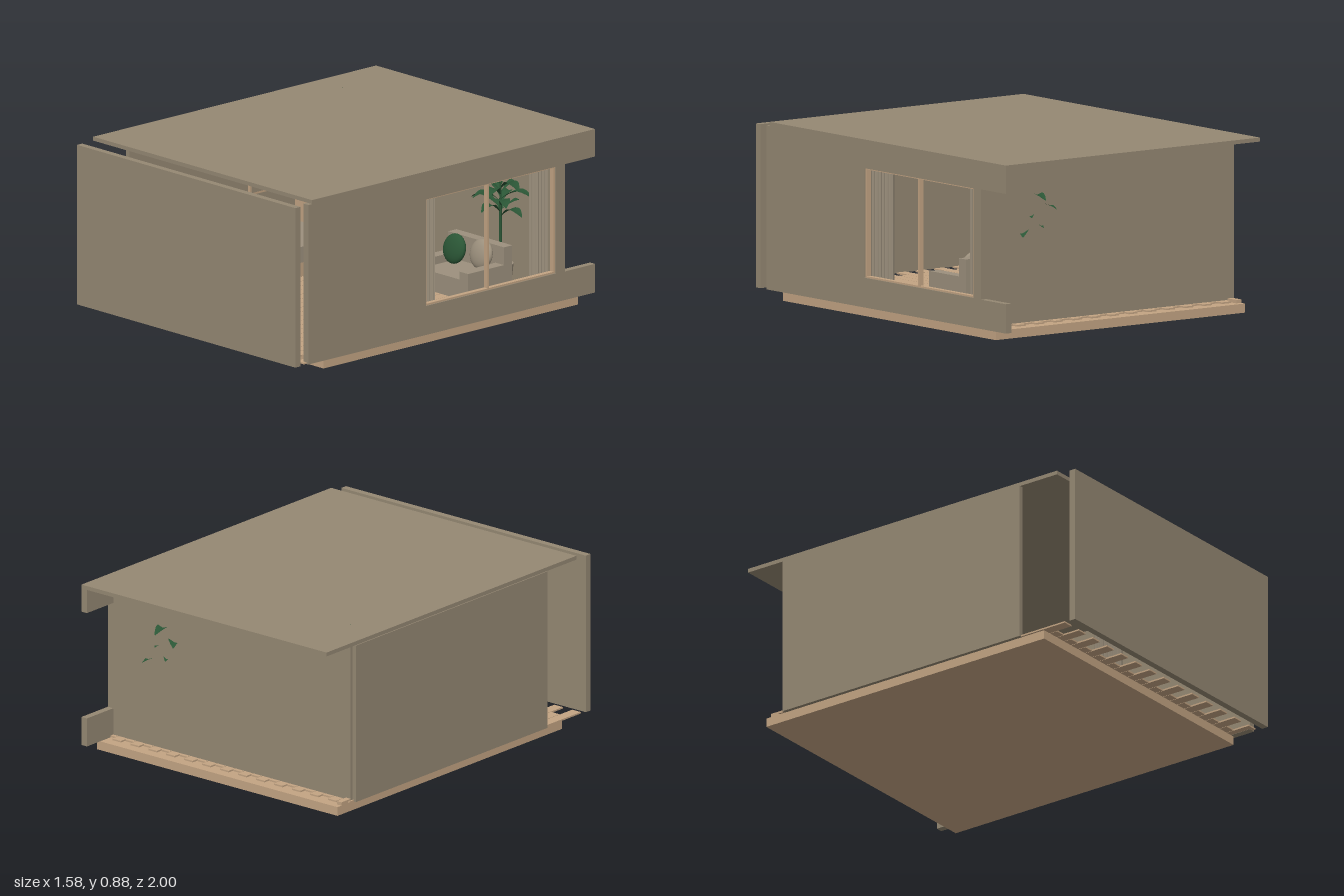
import * as THREE from 'three';

const mat = (name, hex, side = THREE.FrontSide) => {
  const m = new THREE.MeshStandardMaterial({ color: hex, side });
  m.name = name;
  return m;
};

export function createModel() {
  const model = new THREE.Group();
  model.name = 'roomBox';
  const wall = mat('taupe wall', 0x958873);
  const wood = mat('light wood', 0xc3a483);
  const fabric = mat('beige fabric', 0x9c907d, THREE.DoubleSide);
  const leaf = mat('leaf green', 0x2a5535, THREE.DoubleSide);
  const dark = mat('dark grey', 0x3c3a36);

  const add = (name, geo, material, parent = model) => {
    const m = new THREE.Mesh(geo, material);
    m.name = name;
    parent.add(m);
    return m;
  };
  // box from its lower and upper limits
  const box = (name, material, x0, x1, y0, y1, z0, z1, parent = model) => {
    const m = add(name, new THREE.BoxGeometry(x1 - x0, y1 - y0, z1 - z0), material, parent);
    m.position.set((x0 + x1) / 2, (y0 + y1) / 2, (z0 + z1) / 2);
    return m;
  };

  // shell
  box('baseSlab', wood, -0.77, 0.77, 0, 0.045, -0.9, 0.8);
  box('frontWall', wall, -0.783, 0.783, 0.045, 0.855, 0.965, 1);
  box('backWall', wall, -0.77, 0.75, 0.045, 0.855, -0.8, -0.765);
  box('leftWall', wall, -0.79, -0.765, 0.045, 0.855, -0.785, 0.665);
  box('roof', wall, -0.785, 0.785, 0.855, 0.875, -1, 0.89);
  box('skirtingEnd', wood, -0.77, -0.74, 0.045, 0.062, -0.87, -0.8);

  // right wall: notched at the back, with a window opening (drawn in -z, y)
  const points = (list) => list.map(([u, y]) => new THREE.Vector2(u, y));
  const side = new THREE.Shape(points([
    [-0.915, 0.045], [1, 0.045], [1, 0.19], [0.8, 0.19],
    [0.8, 0.735], [1, 0.735], [1, 0.855], [-0.915, 0.855],
  ]));
  side.holes.push(new THREE.Path(points([[-0.13, 0.192], [-0.13, 0.733], [0.74, 0.733], [0.74, 0.192]])));
  const sideGeo = new THREE.ExtrudeGeometry(side, { depth: 0.035, bevelEnabled: false });
  sideGeo.rotateY(Math.PI / 2);
  add('rightWall', sideGeo, wall).position.x = 0.75;

  // staggered floor planks
  const pitch = 0.0575;
  for (let i = 0; i < 27; i++) {
    const x = -0.778 + i * pitch, long = i % 2 === 0;
    box('floorPlank', wood, x, x + pitch - 0.003, 0.046, 0.054, long ? -0.82 : -0.85, long ? 0.932 : 0.84);
  }

  // window frame and mullion
  const frame = new THREE.Group();
  frame.name = 'windowFrame';
  model.add(frame);
  box('frameBottom', wood, 0.752, 0.778, 0.19, 0.2, -0.74, 0.13, frame);
  box('frameTop', wood, 0.752, 0.778, 0.727, 0.737, -0.74, 0.13, frame);
  for (const z of [-0.735, -0.295, 0.125])
    box('frameUpright', wood, 0.752, 0.778, 0.19, 0.737, z - 0.005, z + 0.005, frame);

  // pleated curtains
  const curtain = (z0, z1, folds) => {
    const width = z1 - z0;
    const g = new THREE.PlaneGeometry(width, 0.74, folds * 6, 1);
    const p = g.attributes.position;
    for (let i = 0; i < p.count; i++)
      p.setZ(i, 0.016 * Math.sin((p.getX(i) / width + 0.5) * folds * Math.PI * 2));
    g.rotateY(Math.PI / 2);
    g.computeVertexNormals();
    add('curtain', g, fabric).position.set(0.71, 0.44, (z0 + z1) / 2);
  };
  curtain(0, 0.16, 6);
  curtain(-0.755, -0.63, 6);

  // armchair facing the front, with cushions
  const chair = new THREE.Group();
  chair.name = 'armchair';
  model.add(chair);
  box('seat', fabric, 0.32, 0.64, 0.12, 0.22, -0.52, -0.25, chair);
  for (const x of [0.28, 0.62]) box('armrest', fabric, x, x + 0.06, 0.1, 0.26, -0.52, -0.25, chair);
  box('backrest', fabric, 0.28, 0.68, 0.1, 0.35, -0.545, -0.49, chair);
  for (const x of [0.3, 0.64]) for (const z of [-0.5, -0.29])
    box('chairLeg', wood, x, x + 0.02, 0.054, 0.12, z, z + 0.02, chair);
  const cushion = (x, z, material) => {
    const m = add('cushion', new THREE.SphereGeometry(0.075, 20, 14), material, chair);
    m.scale.set(1, 1, 0.4);
    m.position.set(x, 0.3, z);
    m.rotation.x = -0.25;
  };
  cushion(0.56, -0.45, fabric);
  cushion(0.4, -0.42, leaf);

  // daybed along the left wall
  box('daybedBase', wood, -0.74, -0.34, 0.07, 0.14, -0.4, 0.45);
  box('daybedMattress', fabric, -0.74, -0.34, 0.14, 0.22, -0.4, 0.45);
  box('daybedBack', fabric, -0.75, -0.68, 0.2, 0.3, -0.38, 0.43);

  // low table
  const table = new THREE.Group();
  table.name = 'lowTable';
  model.add(table);
  add('tableTop', new THREE.CylinderGeometry(0.13, 0.13, 0.015, 32), wood, table).position.set(0.2, 0.19, -0.12);
  add('tableStem', new THREE.CylinderGeometry(0.02, 0.05, 0.13, 24), dark, table).position.set(0.2, 0.12, -0.12);
  box('book', dark, 0.14, 0.25, 0.198, 0.212, -0.17, -0.09, table);

  // framed picture with abstract patches
  box('pictureFrame', wood, -0.765, -0.75, 0.39, 0.6, -0.3, -0.125);
  box('pictureCanvas', wall, -0.75, -0.748, 0.4, 0.59, -0.29, -0.135);
  for (const [z, y, s] of [[-0.155, 0.5, 0.03], [-0.2, 0.47, 0.04], [-0.26, 0.49, 0.035]])
    box('picturePatch', wood, -0.748, -0.746, y - s / 2, y + s / 2, z - s / 2, z + s / 2);

  // open shelves in the back corner
  box('shelfPost', wood, -0.765, -0.52, 0.054, 0.8, -0.455, -0.44);
  for (let i = 0; i < 7; i++) {
    const y = 0.15 + i * 0.09;
    box('shelf', wood, -0.765, -0.64, y, y + 0.014, -0.765, -0.455);
  }

  // arched, tapering leaf along +x
  const leafGeo = (len, width, rise) => {
    const g = new THREE.PlaneGeometry(len, width, 8, 2);
    g.rotateX(-Math.PI / 2);
    g.translate(len / 2, 0, 0);
    const p = g.attributes.position;
    for (let i = 0; i < p.count; i++) {
      const t = THREE.MathUtils.clamp(p.getX(i) / len, 0, 1);
      p.setZ(i, p.getZ(i) * (0.1 + Math.sin(Math.PI * Math.pow(t, 1.4))));
      p.setY(i, rise * Math.sin(t * 2.6) + Math.abs(p.getZ(i)) * 0.3);
    }
    g.computeVertexNormals();
    return g;
  };
  const plant = (name, x, z, y0, y1, count, len) => {
    const g = new THREE.Group();
    g.name = name;
    g.position.set(x, 0, z);
    model.add(g);
    add('pot', new THREE.CylinderGeometry(0.065, 0.05, 0.13, 28), fabric, g).position.y = 0.119;
    add('stem', new THREE.CylinderGeometry(0.005, 0.009, y1 - 0.18, 10), leaf, g).position.y = (y1 + 0.18) / 2;
    for (let i = 0; i < count; i++) {
      const m = add('leaf', leafGeo(len * (0.85 + 0.15 * Math.sin(i * 5)), 0.055, 0.05), leaf, g);
      m.position.y = y0 + ((y1 - y0) * i) / count;
      m.rotation.y = i * 2.4;
    }
  };
  plant('backPlant', 0.44, -0.69, 0.42, 0.64, 20, 0.18);
  plant('cornerPlant', -0.61, -0.61, 0.5, 0.8, 10, 0.13);

  // shoot tip that reaches through the roof
  add('shootTip', new THREE.ConeGeometry(0.014, 0.09, 12), leaf).position.set(-0.61, 0.835, -0.61);
  return model;
}
